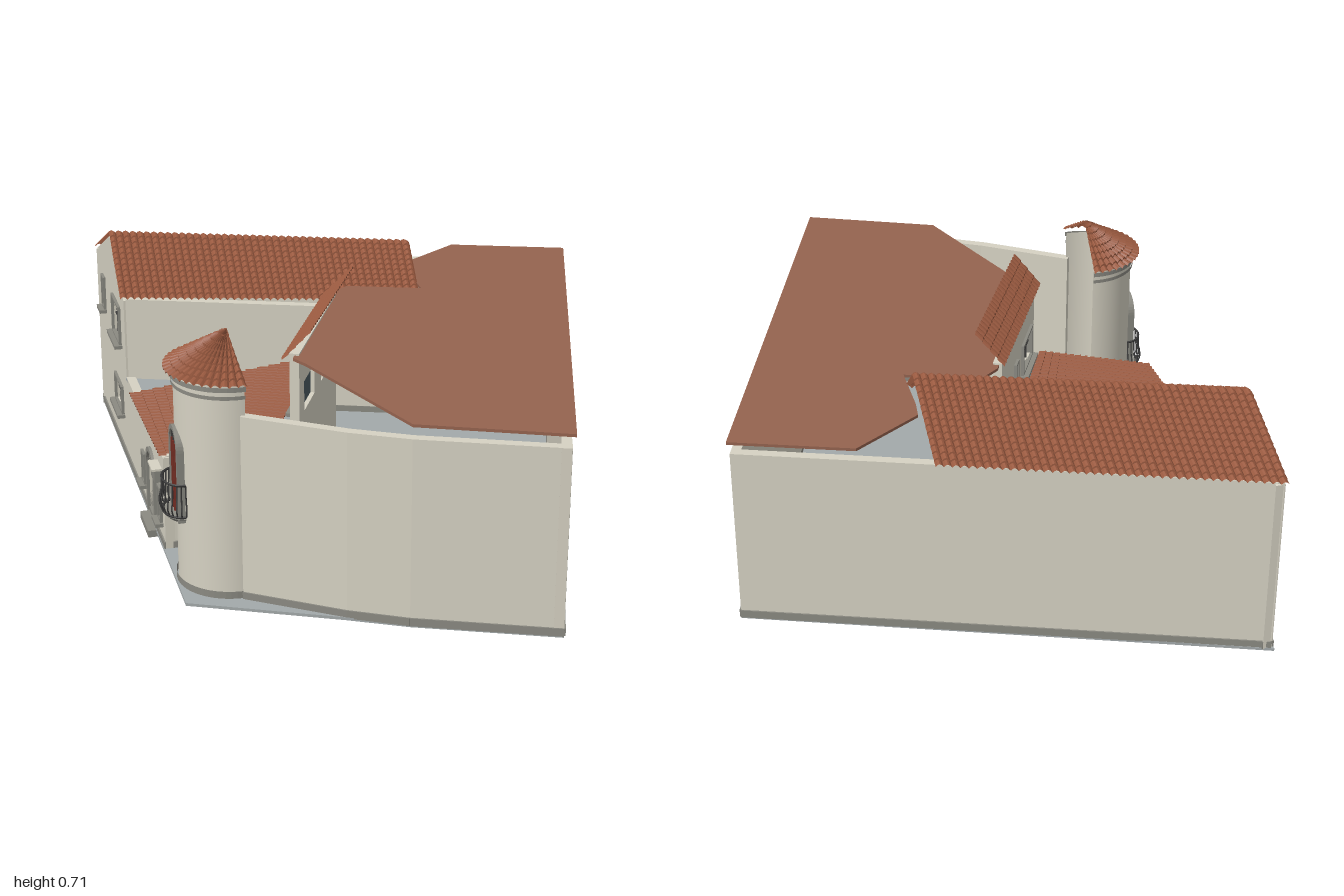
import * as THREE from 'three';

const mat = (color) => new THREE.MeshStandardMaterial({ color, side: THREE.DoubleSide, flatShading: true });
const stucco = mat(0xd6d2c3), stone = mat(0x8b8a82), slabGrey = mat(0xa3a9aa), tile = mat(0x99593f),
  flatRoof = mat(0x95634f), glass = mat(0x4a5a60), wood = mat(0x7a3026), iron = mat(0x3a3a3a);

export function createModel() {
  const model = new THREE.Group();
  const add = (parent, name, geo, material, x = 0, y = 0, z = 0) => {
    const m = new THREE.Mesh(geo, material);
    m.name = name;
    m.position.set(x, y, z);
    parent.add(m);
    return m;
  };

  // Group at a, +x towards b, +z out of the building
  const frame = (name, a, b) => {
    const g = new THREE.Group();
    g.name = name;
    g.position.set(a[0], 0, a[1]);
    g.rotation.y = Math.atan2(a[1] - b[1], b[0] - a[0]);
    model.add(g);
    return g;
  };

  // Rectangular or round-headed outline
  const outline = (Type, x, y0, y1, w, arch) => {
    const p = new Type(), h = w / 2;
    p.moveTo(x - h, y0);
    p.lineTo(x + h, y0);
    if (arch) p.absarc(x, y1 - h, h, 0, Math.PI, false);
    else { p.lineTo(x + h, y1); p.lineTo(x - h, y1); }
    p.lineTo(x - h, y0);
    return p;
  };
  const extrude = (shape, depth, z = 0) =>
    new THREE.ExtrudeGeometry(shape, { depth, bevelEnabled: false, curveSegments: 10 }).translate(0, 0, z);

  // Framed window or door, with bars and sill
  const opening = (g, o) => {
    const { x, y0, y1, w, arch = false, door = false } = o, f = door ? 0.014 : 0.007;
    const ring = outline(THREE.Shape, x, y0 - (door ? 0 : f), y1 + f, w + 2 * f, arch);
    ring.holes.push(outline(THREE.Path, x, y0, y1, w, arch));
    add(g, 'openingFrame', extrude(ring, 0.022, -0.014), stone);
    add(g, door ? 'doorLeaf' : 'windowPane', extrude(outline(THREE.Shape, x, y0, y1, w, arch), 0.004, -0.014),
      door || w < 0.04 ? wood : glass);
    const bars = w > 0.1 && !door ? 4 : 2;
    for (let i = 1; i < bars; i++)
      add(g, 'mullion', new THREE.BoxGeometry(0.005, (y1 - y0) * 0.96, 0.006), iron, x - w / 2 + (w * i) / bars, (y0 + y1) / 2, -0.007);
    if (!door) {
      add(g, 'crossBar', new THREE.BoxGeometry(w, 0.004, 0.006), iron, x, (y0 + y1) / 2, -0.007);
      add(g, 'sill', new THREE.BoxGeometry(w + 0.03, 0.01, 0.035), stone, x, y0 - 0.01, 0.005);
    }
  };

  // Wall from a to b; top is a list of [distance, height]
  const wall = (name, a, b, top, openings = [], y0 = 0.018) => {
    const g = frame(name, a, b), len = Math.hypot(b[0] - a[0], b[1] - a[1]), t = 0.026;
    const pts = typeof top === 'number' ? [[len, top], [0, top]] : top;
    const s = new THREE.Shape([[0, y0], [len, y0], ...pts].map((p) => new THREE.Vector2(...p)));
    openings.forEach((o) => s.holes.push(outline(THREE.Path, o.x, o.y0, o.y1, o.w, o.arch)));
    add(g, name + 'Panel', extrude(s, t, -t), stucco);
    openings.forEach((o) => opening(g, o));
    if (y0 < 0.1) add(g, 'skirting', new THREE.BoxGeometry(len, 0.022, t + 0.006), stone, len / 2, 0.03, -t / 2 + 0.001);
    return g;
  };

  // Flat slab from an [x, z] outline
  const slab = (name, pts, y, h, material) => {
    const s = new THREE.Shape(pts.map(([x, z]) => new THREE.Vector2(x, -z)));
    add(model, name, extrude(s, h).rotateX(-Math.PI / 2), material, 0, y, 0);
  };

  // Barrel-tile surface: P(u, v) with v from eave to ridge
  const tiles = (name, P, ribs, rows) => {
    const pos = [], idx = [], nu = ribs * 4, lines = rows * 2;
    for (let j = 0; j < lines; j++) {
      const v = (Math.floor(j / 2) + (j % 2)) / rows, lift = j % 2 ? 0 : 0.005;
      for (let i = 0; i <= nu; i++) {
        const p = P(i / nu, v);
        pos.push(p.x, p.y + lift + 0.008 * Math.abs(Math.sin((Math.PI * i) / 4)), p.z);
        if (i < nu && j < lines - 1) {
          const k = j * (nu + 1) + i, m = k + nu + 1;
          idx.push(k, k + 1, m, k + 1, m + 1, m);
        }
      }
    }
    const geo = new THREE.BufferGeometry();
    geo.setAttribute('position', new THREE.Float32BufferAttribute(pos, 3));
    geo.setIndex(idx);
    geo.computeVertexNormals();
    add(model, name, geo, tile);
  };
  const V = (x, y, z) => new THREE.Vector3(x, y, z);
  const tiledQuad = (name, e0, e1, r0, r1, ribs, rows) =>
    tiles(name, (u, v) => e0.clone().lerp(e1, u).lerp(r0.clone().lerp(r1, u), v), ribs, rows);

  // Ground slab and door step
  slab('floorSlab', [[0.05, -0.985], [0.8, 0.23], [-0.36, 0.985], [-0.55, 0.65], [-0.62, 0.5], [-0.81, 0.13]], 0.014, 0.008, slabGrey);

  // Outer walls
  const tip = [0.05, -0.975], right = [0.8, 0.23], front = [-0.36, 0.985];
  wall('rightWall', right, tip, 0.53);
  wall('frontWall', front, right, 0.53);
  const leftPath = [[-0.7, 0.23], [-0.615, 0.5], [-0.55, 0.65], front];
  for (let i = 0; i < 3; i++) wall('leftWall', leftPath[i], leftPath[i + 1], 0.53);

  // Street facade: gabled wing, then the low entrance wing
  const along = (t) => [0.05 - 0.609 * t, -0.98 + 0.793 * t];
  wall('gableFacade', along(0.005), along(0.5), [[0.495, 0.525], [0.27, 0.65], [0, 0.525]], [
    { x: 0.12, y0: 0.38, y1: 0.47, w: 0.032 },
    { x: 0.36, y0: 0.37, y1: 0.475, w: 0.12 },
    { x: 0.36, y0: 0.15, y1: 0.225, w: 0.12 },
  ]);
  const entry = wall('entranceFacade', along(0.5), along(1.09), 0.29, [
    { x: 0.284, y0: 0.09, y1: 0.17, w: 0.03 },
    { x: 0.403, y0: 0.03, y1: 0.225, w: 0.095, arch: true, door: true },
    { x: 0.535, y0: 0.09, y1: 0.18, w: 0.03 },
  ]);
  add(entry, 'doorStep', new THREE.BoxGeometry(0.13, 0.02, 0.045), stone, 0.403, 0.01, 0.005);
  add(entry, 'wallBox', new THREE.BoxGeometry(0.055, 0.035, 0.02), stone, 0.535, 0.225, 0.01);
  add(entry, 'wallBoxCap', new THREE.BoxGeometry(0.065, 0.006, 0.03), stucco, 0.535, 0.246, 0.012);
  wall('gableSideWall', [-0.25, -0.58], [0.06, -0.08], 0.53);
  wall('entranceSideWall', [-0.61, -0.12], [-0.37, 0.1], [[0.325, 0.37], [0, 0.29]]);
  wall('upperWall', [0.05, -0.08], [-0.38, 0.13], 0.575, [
    { x: 0.195, y0: 0.39, y1: 0.47, w: 0.026 },
    { x: 0.355, y0: 0.39, y1: 0.475, w: 0.13 },
  ]);
  slab('entranceDeck', [[-0.25, -0.59], [0.05, -0.08], [-0.37, 0.12], [-0.6, -0.12]], 0.278, 0.008, slabGrey);

  // Roofs
  tiledQuad('gableRoofRight', V(0.05, 0.525, -0.99), V(0.525, 0.525, -0.23), V(-0.11, 0.655, -0.77), V(0.36, 0.655, -0.02), 42, 14);
  tiledQuad('gableRoofLeft', V(-0.26, 0.525, -0.59), V(0.255, 0.525, 0.1), V(-0.11, 0.655, -0.77), V(0.36, 0.655, -0.02), 42, 12);
  tiledQuad('entranceRoof', V(-0.36, 0.295, -0.475), V(-0.625, 0.295, -0.12), V(0.02, 0.38, -0.1), V(-0.37, 0.375, 0.1), 22, 16);
  tiledQuad('upperRoof', V(0.05, 0.565, -0.09), V(-0.42, 0.565, 0.135), V(0.08, 0.655, -0.01), V(-0.39, 0.655, 0.21), 25, 4);
  slab('flatRoof', [[0.81, 0.23], [-0.36, 0.995], [-0.55, 0.65], [-0.4, 0.2], [-0.39, 0.15], [0.07, -0.08], [0.14, -0.08],
    [0.255, 0.1], [0.36, -0.03], [0.4, -0.07], [0.63, -0.055]], 0.562, 0.008, flatRoof);

  // Half-round tower, open to the inside
  const cx = -0.61, cz = 0.115, R = 0.14, mid = Math.atan2(-0.79, -0.61), start = mid - Math.PI / 2 - 0.1, sweep = Math.PI + 0.2;
  const drum = (name, r, y0, y1, material) =>
    add(model, name, new THREE.CylinderGeometry(r, r, y1 - y0, 32, 1, true, start, sweep), material, cx, (y0 + y1) / 2, cz);
  const towerMat = stucco.clone();
  towerMat.flatShading = false;
  drum('towerWall', R, 0.018, 0.61, towerMat);
  drum('towerBase', R + 0.005, 0.018, 0.042, stone);
  drum('towerCornice', R + 0.006, 0.575, 0.585, stone);
  drum('towerCorniceUpper', R + 0.01, 0.597, 0.61, stone);
  tiles('towerRoof', (u, v) => {
    const a = start + u * sweep, r = 0.165 * (1 - v);
    return V(cx + r * Math.sin(a), 0.61 + 0.093 * v, cz + r * Math.cos(a));
  }, 24, 8);

  // Tower window and bowed iron balcony
  const bay = new THREE.Group();
  bay.name = 'towerWindow';
  bay.position.set(cx, 0, cz);
  bay.rotation.y = mid;
  model.add(bay);
  add(bay, 'towerPane', extrude(outline(THREE.Shape, 0, 0.22, 0.45, 0.09, true), 0.025, R - 0.022), iron);
  const surround = outline(THREE.Shape, 0, 0.21, 0.462, 0.112, true);
  surround.holes.push(outline(THREE.Path, 0, 0.22, 0.45, 0.09, true));
  add(bay, 'towerWindowFrame', extrude(surround, 0.03, R - 0.022), stone);
  for (const x of [-0.023, 0, 0.023]) add(bay, 'towerMullion', new THREE.BoxGeometry(0.005, 0.2, 0.006), wood, x, 0.32, R + 0.005);
  const bow = (a, s = 1) => V(0.062 * s * Math.cos(a), 0, R - 0.012 + 0.05 * s * Math.sin(a));
  const balconyFloor = new THREE.CylinderGeometry(0.062, 0.045, 0.014, 20, 1, false, -Math.PI / 2, Math.PI).scale(1, 1, 0.8);
  add(bay, 'balconyFloor', balconyFloor, stone, 0, 0.215, R - 0.012);
  for (const y of [0.228, 0.318]) {
    const path = new THREE.CatmullRomCurve3(Array.from({ length: 13 }, (_, i) => bow((i * Math.PI) / 12)));
    add(bay, 'balconyRail', new THREE.TubeGeometry(path, 24, 0.0035, 5), iron, 0, y, 0);
  }
  for (let i = 0; i <= 14; i++) {
    const a = (i * Math.PI) / 14;
    const path = new THREE.CatmullRomCurve3([[0.228, 1], [0.25, 1.16], [0.28, 1.04], [0.318, 1]].map(([y, s]) => bow(a, s).setY(y)));
    add(bay, 'baluster', new THREE.TubeGeometry(path, 8, 0.002, 4), iron);
  }
  return model;
}
